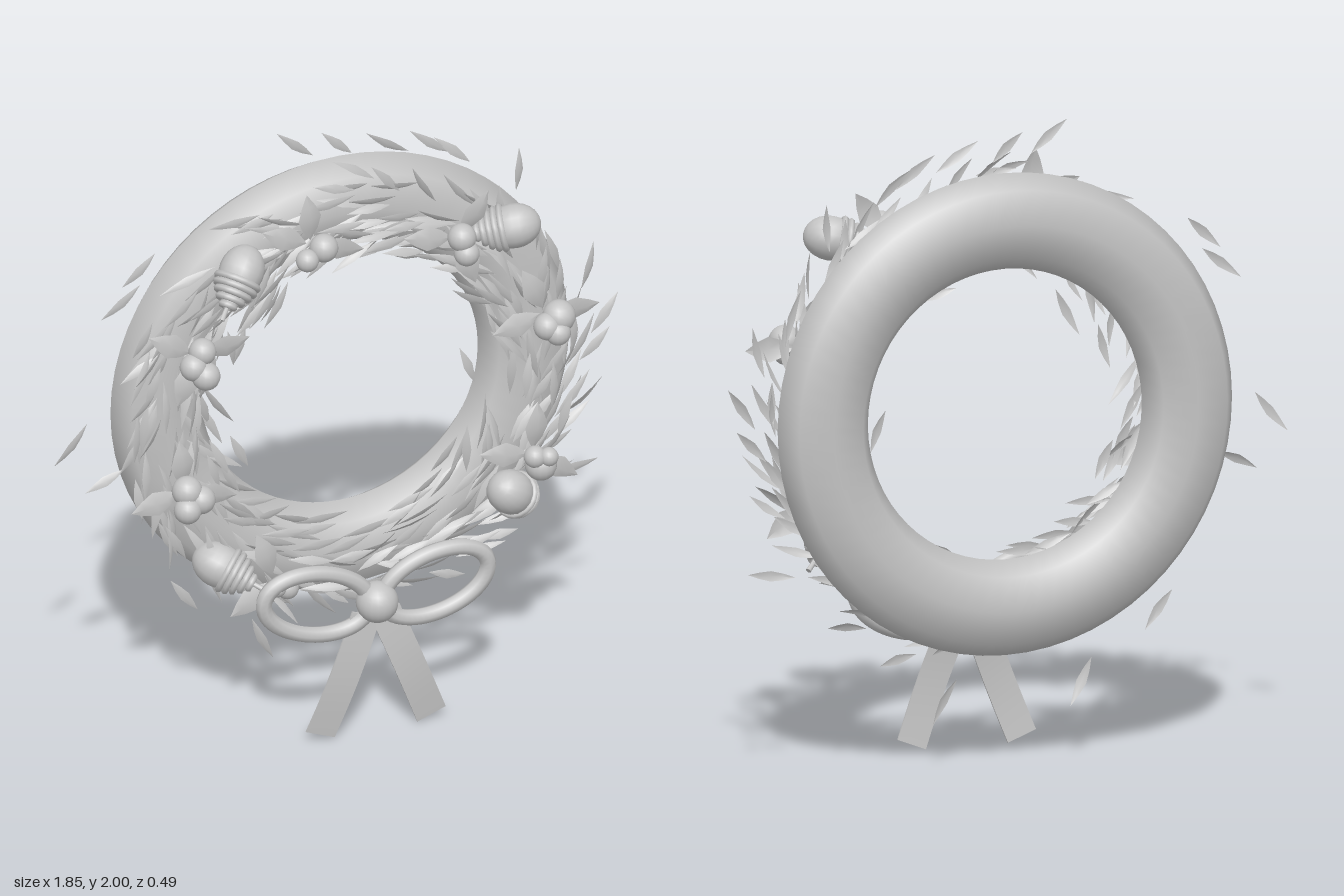
import * as THREE from 'three';
import { mergeGeometries } from 'three/addons/utils/BufferGeometryUtils.js';

const CX = 0.025, CY = 1.1, R = 0.605;

export function createModel() {
  const root = new THREE.Group();
  root.name = 'wreath';
  const grey = new THREE.MeshStandardMaterial({ color: 0xc4c4c4, side: THREE.DoubleSide });
  grey.name = 'plain grey';

  // small seeded generator, -1..1
  let seed = 12345;
  const rnd = () => {
    seed = (seed * 16807) % 2147483647;
    return (seed / 2147483647) * 2 - 1;
  };

  const add = (parent, name, geo, x = 0, y = 0, z = 0) => {
    const m = new THREE.Mesh(geo, grey);
    m.name = name;
    m.position.set(x, y, z);
    parent.add(m);
    return m;
  };

  // pointed leaf growing along +y, slightly creased and bowed
  function leaf(len, width) {
    const pos = [], idx = [];
    const widths = [0, 0.65, 1, 0.6, 0];
    widths.forEach((w, i) => {
      const t = i / 4, bow = Math.sin(t * Math.PI) * len * 0.05;
      const h = (w * width) / 2;
      pos.push(-h, t * len, bow, 0, t * len, bow + h * 0.25, h, t * len, bow);
    });
    for (let i = 0; i < 4; i++) {
      for (let j = 0; j < 2; j++) {
        const a = i * 3 + j, b = a + 1, c = a + 3, d = a + 4;
        if (i > 0) idx.push(a, b, d);
        if (i < 3) idx.push(a, d, c);
      }
    }
    const g = new THREE.BufferGeometry();
    g.setAttribute('position', new THREE.Float32BufferAttribute(pos, 3));
    g.setIndex(idx);
    g.computeVertexNormals();
    return g;
  }

  // leaf laid from (x, y) in direction dir (radians from +x) with tilt and roll
  const laidLeaf = (len, width, x, y, z, dir, tilt, roll) =>
    leaf(len, width).rotateY(roll).rotateX(tilt).rotateZ(dir - Math.PI / 2).translate(x, y, z);

  // padded ring at the back
  const ring = add(root, 'ringBase', new THREE.TorusGeometry(R, 0.15, 8, 64), CX, CY, -0.147);
  ring.scale.z = 0.66;

  // needles swept anticlockwise, fanning out toward both rims
  const needles = [];
  const count = 340;
  for (let i = 0; i < count; i++) {
    const a = (i / count) * Math.PI * 2 + rnd() * 0.03;
    const off = rnd() * 0.14;
    const dir = a + Math.PI / 2 - off * 3.2 + rnd() * 0.4;
    const z = 0.015 - off * off * 2.5 + rnd() * 0.04;
    const len = 0.165 + rnd() * 0.03;
    const r = R + off;
    needles.push(laidLeaf(len, 0.03, CX + Math.cos(a) * r - Math.cos(dir) * len * 0.4,
      CY + Math.sin(a) * r - Math.sin(dir) * len * 0.4, z, dir, rnd() * 0.15, rnd() * 0.9));
  }
  // stray needles: base x, y, tip x, y
  const strays = [
    [-0.08, 1.9, -0.2, 2.0], [0.05, 1.88, -0.05, 1.97], [0.23, 1.86, 0.09, 1.95],
    [0.37, 1.82, 0.24, 1.92], [0.44, 1.77, 0.32, 1.88], [0.59, 1.64, 0.6, 1.79],
    [-0.65, 1.56, -0.78, 1.46], [-0.6, 1.66, -0.71, 1.56], [-0.82, 1.1, -0.93, 0.97],
    [-0.7, 0.92, -0.83, 0.86], [0.83, 1.1, 0.92, 1.23], [0.8, 1.26, 0.84, 1.42],
    [0.8, 1.0, 0.9, 1.1], [0.7, 0.63, 0.86, 0.65], [0.74, 0.82, 0.86, 0.9],
    [0.16, 0.27, 0.24, 0.13], [-0.28, 0.31, -0.21, 0.16], [0.46, 0.45, 0.59, 0.46],
    [0.3, 0.36, 0.42, 0.33], [-0.55, 0.5, -0.46, 0.38], [-0.16, 1.47, -0.24, 1.32],
    [-0.3, 1.35, -0.34, 1.21], [0.45, 1.0, 0.4, 1.13], [0.3, 0.72, 0.39, 0.83],
    [0.3, 1.47, 0.17, 1.5], [-0.36, 0.98, -0.3, 0.86]
  ];
  for (const [x0, y0, x1, y1] of strays) {
    needles.push(laidLeaf(Math.hypot(x1 - x0, y1 - y0), 0.032, x0, y0, -0.1 + rnd() * 0.015,
      Math.atan2(y1 - y0, x1 - x0), 0, rnd() * 0.6));
  }
  add(root, 'needles', mergeGeometries(needles));

  // berry clusters: centre, leaf directions in degrees, berries as [dx, dy, radius]
  const clusters = [
    { x: -0.16, y: 1.7, leaves: [95, 155, -15], berries: [[0.02, 0.015, 0.045], [-0.04, -0.01, 0.036]] },
    { x: 0.32, y: 1.63, leaves: [55, 170, -70], berries: [[-0.005, 0.03, 0.045], [0.005, -0.02, 0.04]] },
    { x: -0.54, y: 1.39, leaves: [150, 10, -110], berries: [[0, 0.04, 0.043], [-0.035, 0, 0.043], [0, -0.03, 0.045]] },
    { x: 0.61, y: 1.31, leaves: [0, 115, 195], berries: [[0.025, 0.01, 0.052], [-0.02, -0.01, 0.043], [0.01, -0.03, 0.04]] },
    { x: -0.58, y: 0.92, leaves: [195, 95, -15], berries: [[-0.01, 0.03, 0.048], [0.03, 0, 0.045], [-0.02, -0.02, 0.043]] },
    { x: 0.57, y: 0.82, leaves: [-35, 85, 170], berries: [[0.005, -0.01, 0.05], [-0.02, 0.03, 0.035], [0.02, 0.03, 0.03]] },
    { x: -0.28, y: 0.55, leaves: [110, 215], berries: [[0.02, -0.005, 0.036], [-0.02, 0.01, 0.03]] }
  ];
  const berryGeo = new THREE.SphereGeometry(1, 16, 12);
  for (const c of clusters) {
    const g = new THREE.Group();
    g.name = 'berryCluster';
    g.position.set(c.x, c.y, 0);
    root.add(g);
    for (const d of c.leaves) {
      const a = THREE.MathUtils.degToRad(d);
      add(g, 'broadLeaf', laidLeaf(0.165, 0.08, Math.cos(a) * 0.015, Math.sin(a) * 0.015, 0.085, a, 0.04, 0.15));
    }
    c.berries.forEach(([dx, dy, r], i) => {
      add(g, 'berry', berryGeo, dx, dy, 0.145 + i * 0.015).scale.setScalar(r);
    });
  }

  // acorns: ridged cup made of shrinking rings, with an egg-shaped nut along +y
  function acorn(x, y, z, dx, dy, dz) {
    const g = new THREE.Group();
    g.name = 'acorn';
    g.position.set(x, y, z);
    g.quaternion.setFromUnitVectors(new THREE.Vector3(0, 1, 0), new THREE.Vector3(dx, dy, dz).normalize());
    add(g, 'nut', berryGeo, 0, 0.035, 0).scale.set(0.07, 0.085, 0.07);
    [0.066, 0.062, 0.052, 0.038, 0.02].forEach((r, i) => {
      add(g, 'cupRidge', new THREE.TorusGeometry(r, 0.011, 6, 20), 0, -i * 0.02, 0).rotation.x = Math.PI / 2;
    });
    add(g, 'stem', new THREE.CylinderGeometry(0.007, 0.009, 0.05, 8), 0, -0.105, 0);
    root.add(g);
  }
  acorn(0.47, 1.635, 0.09, 1, 0.2, 0.35);
  acorn(0.51, 0.695, 0.1, -0.8, 0.7, 0.5);
  acorn(-0.39, 1.6, 0.055, 0.6, 0.8, -0.45);
  acorn(-0.425, 0.6, 0.07, -0.8, 0.45, -0.6);

  // bow: two tilted oval loops, a knot and two hanging tails
  const bow = new THREE.Group();
  bow.name = 'bow';
  bow.position.set(0.022, 0, 0);
  root.add(bow);
  class Oval extends THREE.Curve {
    constructor(side) { super(); this.side = side; }
    getPoint(t, out = new THREE.Vector3()) {
      const a = t * Math.PI * 2, u = Math.cos(a) * 0.178, v = Math.sin(a) * 0.105;
      const c = Math.cos(0.25), s = Math.sin(0.25);
      return out.set(this.side * (0.195 + u * c - v * s), 0.482 + u * s + v * c, 0.17);
    }
  }
  for (const side of [-1, 1]) {
    const name = side > 0 ? 'left' : 'right';
    add(bow, name + 'Loop', new THREE.TubeGeometry(new Oval(side), 48, 0.026, 8, true));

    // tail bows gently forward along its length
    const tail = new THREE.BoxGeometry(0.1, 0.42, 0.006, 1, 8, 1);
    const p = tail.attributes.position;
    for (let i = 0; i < p.count; i++) {
      p.setZ(i, p.getZ(i) + 0.014 * Math.sin((p.getY(i) / 0.42 + 0.5) * Math.PI));
    }
    tail.computeVertexNormals();
    add(bow, name + 'Tail', tail, side * 0.107, 0.217, 0.168).rotation.z = side * 0.37;
  }
  add(bow, 'knot', new THREE.SphereGeometry(0.066, 20, 14), 0, 0.457, 0.18);

  return root;
}
